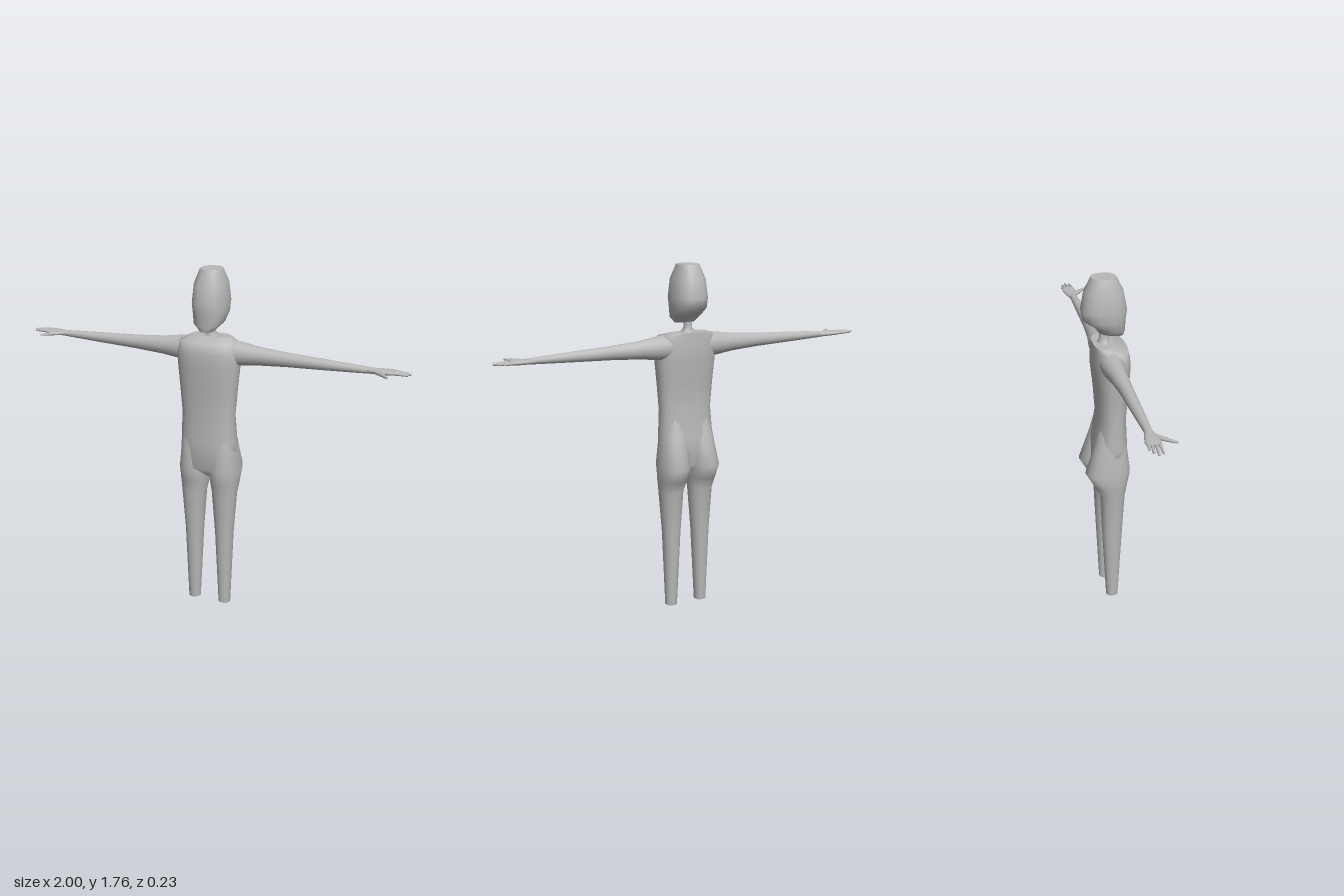
import * as THREE from 'three';

// Rings run along an axis ('y': a = x, b = z; 'x': a = z, b = y).
// Each ring: [position, centre a, half a, centre b, half b, tilt along b]
function loft(axis, rings, { n = 16, power = 2.2, side = 1 } = {}) {
  const pos = [], idx = [];
  const tri = (a, b, c) => (side > 0 ? idx.push(a, b, c) : idx.push(a, c, b));
  const put = (p, a, b) => (axis === 'y' ? pos.push(side * a, p, b) : pos.push(side * p, b, a));
  const curve = (v) => Math.sign(v) * Math.pow(Math.abs(v), 2 / power);
  const ringAt = ([p, ca, ra, cb, rb, tilt = 0]) => {
    for (let i = 0; i < n; i++) {
      const t = (i / n) * Math.PI * 2, b = curve(Math.sin(t));
      put(p + tilt * b, ca + ra * curve(Math.cos(t)), cb + rb * b);
    }
  };
  rings.forEach(ringAt);
  for (let r = 0; r < rings.length - 1; r++) {
    for (let i = 0; i < n; i++) {
      const j = (i + 1) % n, lo = r * n, hi = lo + n;
      tri(lo + i, hi + i, lo + j);
      tri(lo + j, hi + i, hi + j);
    }
  }
  // End caps on their own vertices, so the rims stay sharp
  [rings[0], rings[rings.length - 1]].forEach((ring, end) => {
    const base = pos.length / 3;
    ringAt(ring);
    put(ring[0], ring[1], ring[3]);
    for (let i = 0; i < n; i++) {
      const a = base + i, b = base + ((i + 1) % n);
      end ? tri(base + n, b, a) : tri(base + n, a, b);
    }
  });
  const g = new THREE.BufferGeometry();
  g.setAttribute('position', new THREE.Float32BufferAttribute(pos, 3));
  g.setIndex(idx);
  g.computeVertexNormals();
  return g;
}

export function createModel() {
  const model = new THREE.Group();
  model.name = 'figure';
  const grey = new THREE.MeshStandardMaterial({ color: 0xb8b8b8 });
  grey.name = 'plain grey';
  const add = (name, geometry, parent = model) => {
    const m = new THREE.Mesh(geometry, grey);
    m.name = name;
    parent.add(m);
  };

  // Head: flat crown, sloping jaw
  add('head', loft('y', [
    [1.472, 0, 0.04, 0.03, 0.06, -0.009],
    [1.505, 0, 0.074, 0.02, 0.077, -0.012],
    [1.55, 0, 0.084, -0.004, 0.104],
    [1.60, 0, 0.088, -0.005, 0.112],
    [1.69, 0, 0.08, -0.005, 0.095],
    [1.76, 0, 0.053, -0.005, 0.06],
  ], { n: 20, power: 2.3 }));
  add('neck', loft('y', [
    [1.40, 0, 0.06, -0.008, 0.045],
    [1.43, 0, 0.036, -0.006, 0.03],
    [1.455, 0, 0.018, -0.004, 0.022],
    [1.50, 0, 0.024, -0.004, 0.025],
  ], { n: 12 }));

  // Torso from crotch to shoulders
  add('torso', loft('y', [
    [0.71, 0, 0.02, 0.02, 0.03],
    [0.76, 0, 0.15, 0.02, 0.088],
    [0.90, 0, 0.145, 0.021, 0.085],
    [1.04, 0, 0.138, 0.028, 0.07],
    [1.18, 0, 0.149, 0.028, 0.08],
    [1.30, 0, 0.16, 0.026, 0.091],
    [1.36, 0, 0.16, 0.026, 0.09],
    [1.41, 0, 0.148, 0.022, 0.083],
    [1.43, 0, 0.1, -0.015, 0.045],
  ], { n: 24, power: 2.4 }));

  // Fingers: [z at root, z at tip, x at tip]
  const fingers = [[-0.022, -0.026, 0.95], [-0.006, -0.016, 0.98], [0.011, 0.001, 1.0], [0.027, 0.022, 0.99]];

  for (const side of [1, -1]) {
    const word = side > 0 ? 'left' : 'right';

    // Leg, swelling into the hip and buttock
    add(word + 'Leg', loft('y', [
      [0, 0.085, 0.03, 0.02, 0.031],
      [0.40, 0.083, 0.046, 0.02, 0.052],
      [0.62, 0.083, 0.063, 0.021, 0.063],
      [0.68, 0.081, 0.072, 0.011, 0.085],
      [0.755, 0.081, 0.077, -0.002, 0.114],
      [0.90, 0.075, 0.068, 0.015, 0.08],
      [1.02, 0.065, 0.05, 0.02, 0.055],
    ], { side }));

    // Arm, tapering from shoulder to wrist
    const arm = new THREE.Group();
    arm.name = word + 'Arm';
    model.add(arm);
    add('sleevelessArm', loft('x', [
      [0.06, 0.01, 0.06, 1.36, 0.066],
      [0.16, 0.008, 0.055, 1.357, 0.059],
      [0.25, 0.01, 0.042, 1.356, 0.046],
      [0.40, 0.011, 0.032, 1.355, 0.035],
      [0.60, 0.01, 0.026, 1.354, 0.026],
      [0.80, 0.008, 0.018, 1.353, 0.016],
      [0.82, 0.008, 0.018, 1.353, 0.014],
    ], { side, power: 2 }), arm);
    add('palm', loft('x', [
      [0.79, 0.008, 0.017, 1.353, 0.015],
      [0.83, 0.007, 0.028, 1.353, 0.013],
      [0.88, 0.004, 0.036, 1.354, 0.012],
      [0.92, 0.002, 0.033, 1.355, 0.009],
    ], { side }), arm);
    add('thumb', loft('x', [
      [0.82, 0.018, 0.012, 1.353, 0.008],
      [0.86, 0.045, 0.017, 1.354, 0.009],
      [0.885, 0.07, 0.014, 1.355, 0.008],
      [0.912, 0.1, 0.008, 1.355, 0.005],
    ], { side, n: 8 }), arm);
    fingers.forEach(([z0, z1, tip], i) => add('finger' + (i + 1), loft('x', [
      [0.90, z0, 0.008, 1.355, 0.008],
      [(0.90 + tip) / 2, (z0 + z1) / 2, 0.007, 1.355, 0.007],
      [tip - 0.006, z1, 0.006, 1.354, 0.006],
      [tip, z1, 0.003, 1.354, 0.003],
    ], { side, n: 8, power: 2 }), arm));
  }
  return model;
}
